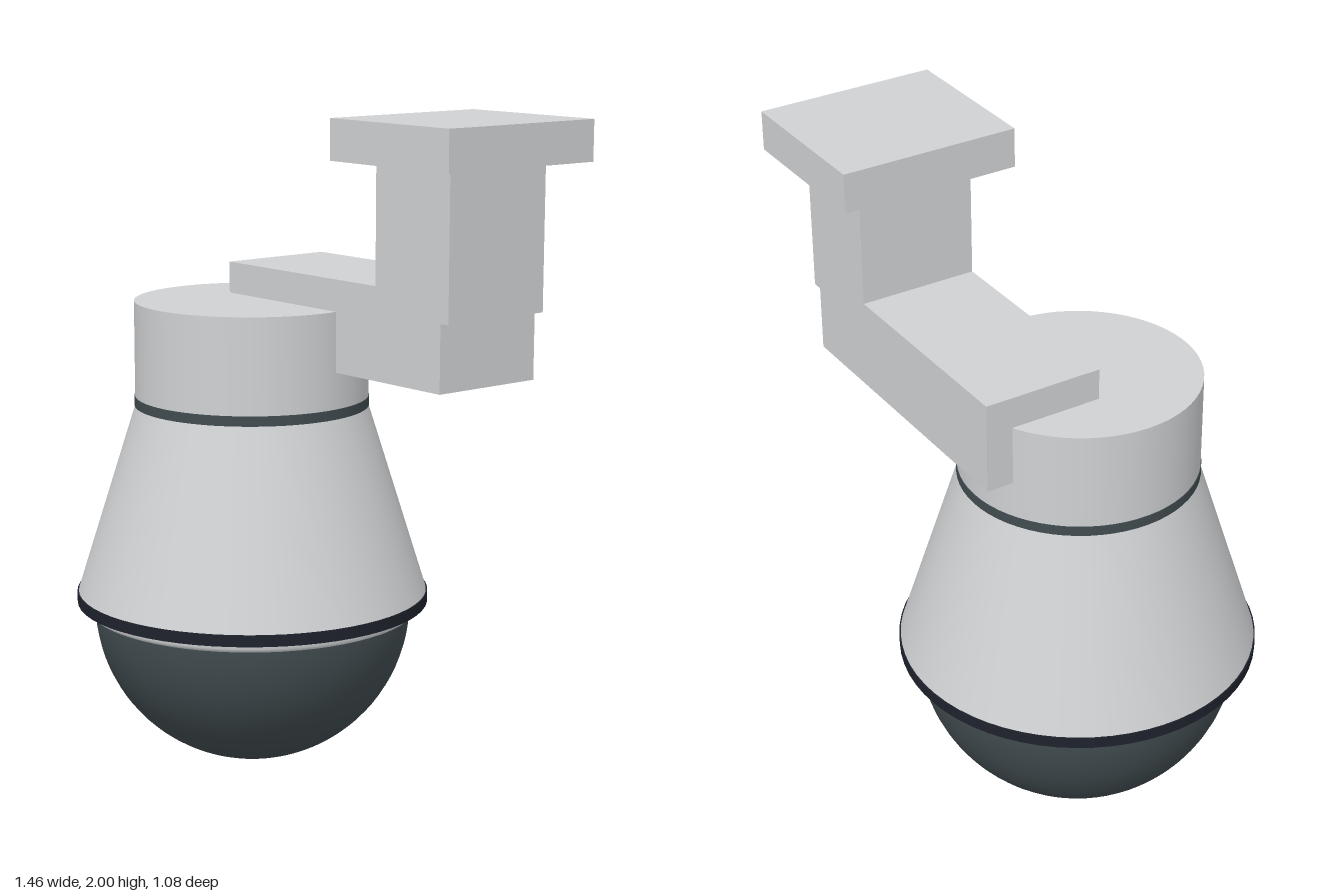
import * as THREE from 'three';

export function createModel() {
  const model = new THREE.Group();
  const material = (name, color) => {
    const m = new THREE.MeshStandardMaterial({ color });
    m.name = name;
    return m;
  };
  const shell = material('light grey', 0xcfd1d3);
  const smoked = material('smoked grey', 0x414c50);
  const rubber = material('dark rubber', 0x1e222c);

  const add = (parent, name, geometry, mat, x, y, z) => {
    const mesh = new THREE.Mesh(geometry, mat);
    mesh.name = name;
    mesh.position.set(x, y, z);
    parent.add(mesh);
    return mesh;
  };

  // Round camera housing, stacked along its own vertical axis
  const housing = new THREE.Group();
  housing.name = 'housing';
  housing.position.x = -0.195;
  model.add(housing);
  const drum = (name, rTop, rBottom, y0, y1, mat) =>
    add(housing, name, new THREE.CylinderGeometry(rTop, rBottom, y1 - y0, 64), mat, 0, (y0 + y1) / 2, 0);

  drum('topCap', 0.354, 0.354, 1.14, 1.43, shell);
  drum('neckBand', 0.356, 0.356, 1.11, 1.14, smoked);
  drum('taperedBody', 0.354, 0.535, 0.535, 1.11, shell);
  drum('rimBand', 0.539, 0.539, 0.5, 0.535, rubber);

  // Retaining ring with a rounded lower edge
  const ring = [[0.47, 0.47], [0.492, 0.47], [0.502, 0.474], [0.508, 0.484], [0.508, 0.502]]
    .map(([r, y]) => new THREE.Vector2(r, y));
  add(housing, 'retainingRing', new THREE.LatheGeometry(ring, 64), shell, 0, 0, 0);

  // Hemispherical window
  add(housing, 'dome',
    new THREE.SphereGeometry(0.485, 64, 24, 0, Math.PI * 2, Math.PI / 2, Math.PI / 2),
    smoked, 0, 0.487, 0);

  // Angled mounting bracket, given by its extents
  const bracket = new THREE.Group();
  bracket.name = 'bracket';
  model.add(bracket);
  const block = (name, [x0, x1], [y0, y1], [z0, z1]) =>
    add(bracket, name, new THREE.BoxGeometry(x1 - x0, y1 - y0, z1 - z0), shell,
      (x0 + x1) / 2, (y0 + y1) / 2, (z0 + z1) / 2);

  block('arm', [-0.347, 0.604], [1.25, 1.525], [-0.402, -0.035]);
  block('post', [0.33, 0.636], [1.45, 1.88], [-0.402, -0.035]);
  block('ceilingPlate', [0.238, 0.73], [1.88, 2], [-0.495, 0.059]);

  return model;
}
